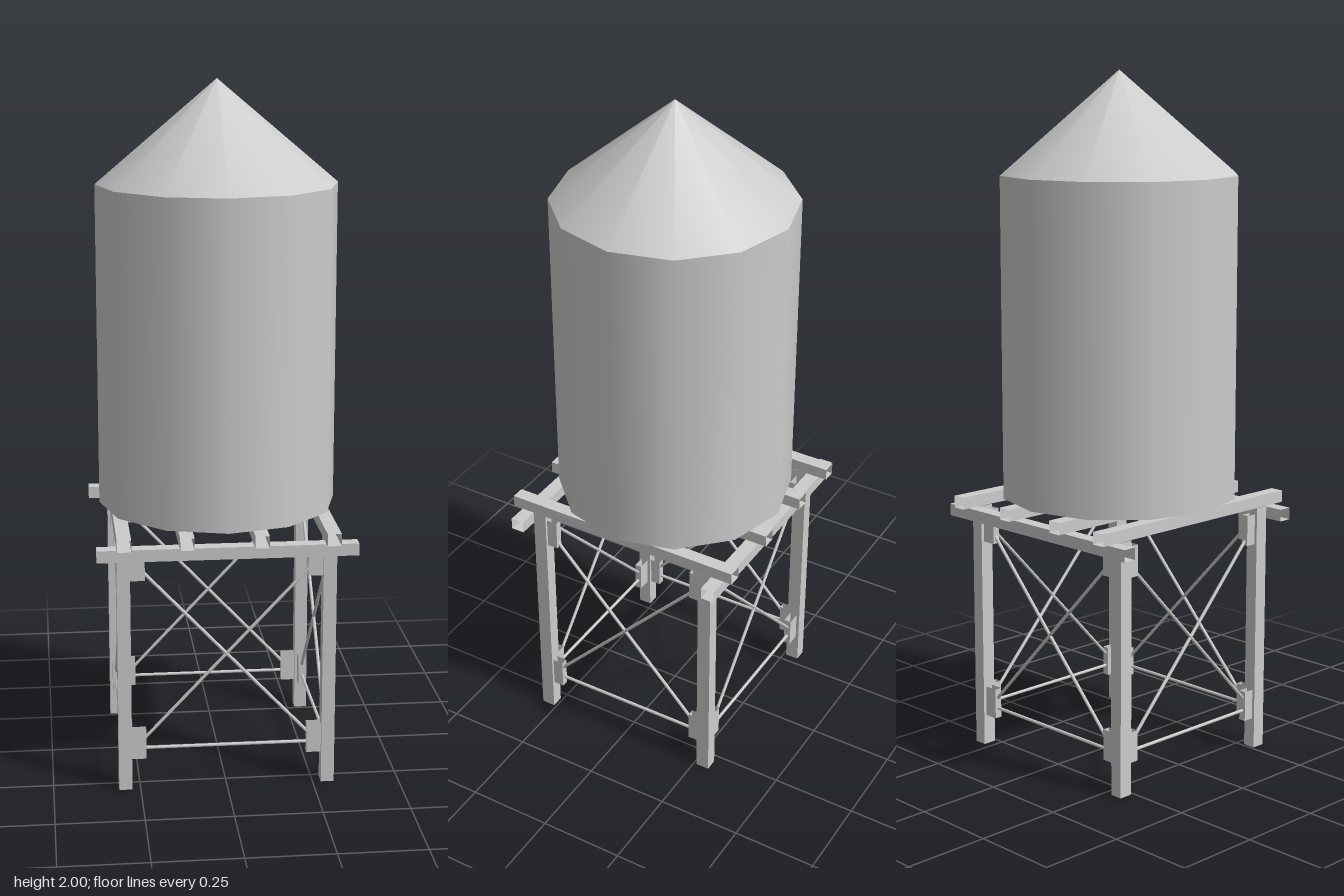
import * as THREE from 'three';

export function createModel() {
  const model = new THREE.Group();
  const steel = new THREE.MeshStandardMaterial({ color: 0xcccccc, side: THREE.DoubleSide });
  steel.name = 'grey steel';

  function add(name, geometry, parent = model) {
    const mesh = new THREE.Mesh(geometry, steel);
    mesh.name = name;
    parent.add(mesh);
    return mesh;
  }

  // Square hollow section, open at both ends, standing along y
  function hollow(w, h, d) {
    const g = new THREE.BoxGeometry(w, h, d);
    const index = Array.from(g.index.array);
    index.splice(12, 12); // drop the two end caps
    g.setIndex(index);
    g.clearGroups();
    return g;
  }

  function rod(name, a, b, parent) {
    const from = new THREE.Vector3(...a), to = new THREE.Vector3(...b);
    const dir = to.clone().sub(from);
    const mesh = add(name, new THREE.CylinderGeometry(0.005, 0.005, dir.length(), 8), parent);
    mesh.position.copy(from).add(to).multiplyScalar(0.5);
    mesh.quaternion.setFromUnitVectors(new THREE.Vector3(0, 1, 0), dir.normalize());
  }

  // Tank: twelve-sided drum with a conical roof
  const R = 0.346, base = 0.778, eave = 1.708;
  add('tankWall', new THREE.CylinderGeometry(R, R, eave - base, 12, 1, true)).position.y = (base + eave) / 2;
  add('tankFloor', new THREE.CircleGeometry(R, 12).rotateX(Math.PI / 2)).position.y = base + 0.001;
  add('tankRoof', new THREE.ConeGeometry(R, 2 - eave, 12, 1, true)).position.y = (2 + eave) / 2;

  // Joists under the tank, running front to back
  for (const x of [-0.293, -0.118, 0.091, 0.293]) {
    add('joist', hollow(0.04, 0.735, 0.035).rotateX(Math.PI / 2)).position.set(x, 0.757, 0);
  }

  const LX = 0.293, LZ = 0.279;
  for (const sz of [-1, 1]) {
    // Cross beams fixed to the outer faces of the legs
    add('crossBeam', hollow(0.035, 0.735, 0.04).rotateZ(Math.PI / 2)).position.set(0, 0.719, sz * 0.32);
    for (const sx of [-1, 1]) {
      add('leg', hollow(0.038, 0.738, 0.041)).position.set(sx * LX, 0.369, sz * LZ);
      // Brackets on the two inner faces of each leg
      for (const y of [0.135, 0.674]) {
        add('bracket', hollow(0.042, 0.09, 0.022)).position.set(sx * 0.253, y, sz * LZ);
        add('bracket', hollow(0.022, 0.09, 0.034)).position.set(sx * LX, y, sz * 0.243);
      }
    }
  }

  // Bracing on all four sides: a crossed pair and one bottom tie
  const low = 0.12, high = 0.68;
  for (const s of [-1, 1]) {
    const bracing = new THREE.Group();
    bracing.name = 'bracing';
    model.add(bracing);
    const x = 0.264, z = 0.264;
    for (const t of [-1, 1]) {
      rod('diagonalRod', [-t * x, low, s * LZ], [t * x, high, s * LZ], bracing);
      rod('diagonalRod', [s * LX, low, -t * z], [s * LX, high, t * z], bracing);
    }
    rod('tieRod', [-x, low, s * LZ], [x, low, s * LZ], bracing);
    rod('tieRod', [s * LX, low, -z], [s * LX, low, z], bracing);
  }
  return model;
}
